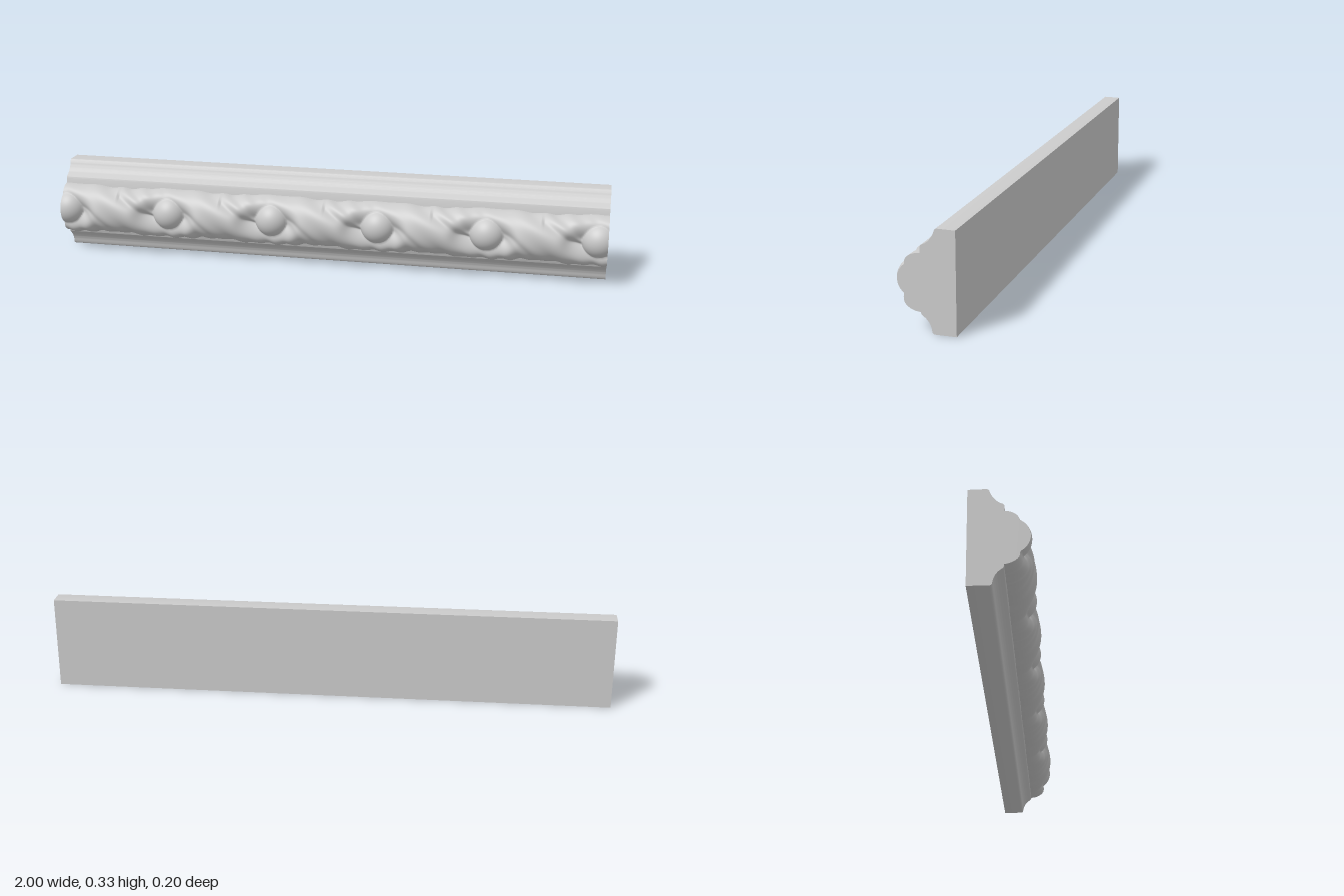
import * as THREE from 'three';
import { toCreasedNormals } from 'three/addons/utils/BufferGeometryUtils.js';

const PITCH = 0.39, FIRST = -0.59;      // spacing of the berries along the rope
const AXIS_Y = 0.16, AXIS_Z = 0.012;    // rope axis, on the face of the rail
const COLS = 420, ROWS = 56;

const material = () => new THREE.MeshStandardMaterial({ color: 0xcccccc });
const gauss = (d, w) => Math.exp(-((d / w) ** 2));

// Straight backing rail; profile drawn with x = -z, then swept along x
function makeRail() {
  const s = new THREE.Shape();
  s.moveTo(0.1, 0);
  s.lineTo(0.1, 0.33);
  s.lineTo(0.041, 0.331);
  s.quadraticCurveTo(0.035, 0.33, 0.033, 0.322);
  s.quadraticCurveTo(0.021, 0.289, -0.004, 0.279);
  s.quadraticCurveTo(-0.012, 0.276, -0.012, 0.27);
  s.lineTo(-0.012, 0.064);
  s.quadraticCurveTo(-0.011, 0.059, -0.004, 0.054);
  s.quadraticCurveTo(0.019, 0.038, 0.023, 0.008);
  s.quadraticCurveTo(0.024, 0.001, 0.03, 0);
  s.closePath();
  const g = new THREE.ExtrudeGeometry(s, { depth: 2, bevelEnabled: false, curveSegments: 10 });
  g.rotateY(Math.PI / 2).translate(-1, 0, 0);
  const rail = new THREE.Mesh(toCreasedNormals(g, 0.6), material());
  rail.name = 'rail';
  return rail;
}

// Surface of the carved rope at x and angle a (-90 deg bottom, +90 deg top)
function carve(x, a) {
  const t = x - FIRST - PITCH * Math.round((x - FIRST) / PITCH);
  const v = Math.sin(a);
  // slanted leaves with folds, fading at the rail
  const slant = t + 0.1 * v + 0.03 * v * v;
  const k = (2 * Math.PI * slant) / PITCH;
  const leafArea = 1 - gauss(t, 0.09);
  let h = 0.955 + 0.03 * Math.cos(2 * Math.PI * t / PITCH) * v * v;
  h += 0.028 * Math.sin(4 * k + 1.2 * Math.sin(k)) * (0.35 + 0.65 * leafArea);
  h -= 0.02 * (1 + Math.sin(k + 1.2)) * leafArea;
  // hollow around each berry, deepest where the leaf tip curls over it
  const hollow = Math.hypot((t + 0.012) / 0.1, (v - 0.03) / 0.72);
  h -= 0.5 * Math.exp(-(hollow ** 5));
  h -= 0.1 * gauss(slant + 0.085, 0.025) * Math.max(0, Math.cos(a));
  h -= 0.06 * gauss(slant - 0.1, 0.018) * Math.max(0, Math.cos(a));
  // small scallops along the lower edge
  if (v < 0) h += 0.02 * v * v * Math.sin(6 * k);

  const ey = 0.094 * v, ez = 0.09 * Math.cos(a), len = Math.hypot(ey, ez);
  const dy = ey / len, dz = ez / len;
  let r = len * Math.min(h, 1.02);
  // berry: where the ray from the axis leaves the ball
  const cy = 0.006, cz = 0.018, along = cy * dy + cz * dz;
  const inside = 0.064 ** 2 - t * t - cy * cy - cz * cz + along * along;
  if (inside > 0) r = Math.max(r, along + Math.sqrt(inside));
  return [AXIS_Y + r * dy, AXIS_Z + Math.max(0, r * dz)];
}

const angle = (j) => (j / ROWS - 0.5) * Math.PI;

function makeRope() {
  const pos = [], idx = [];
  for (let i = 0; i <= COLS; i++) {
    const x = -1 + (2 * i) / COLS;
    for (let j = 0; j <= ROWS; j++) pos.push(x, ...carve(x, angle(j)));
  }
  const n = ROWS + 1;
  for (let i = 0; i < COLS; i++) {
    for (let j = 0; j < ROWS; j++) {
      const p = i * n + j;
      idx.push(p, p + n, p + 1, p + 1, p + n, p + n + 1);
    }
  }
  const g = new THREE.BufferGeometry();
  g.setAttribute('position', new THREE.Float32BufferAttribute(pos, 3));
  g.setIndex(idx);
  g.computeVertexNormals();
  const rope = new THREE.Mesh(g, material());
  rope.name = 'carvedRope';
  return rope;
}

// Flat sawn end of the rope; side is +1 or -1
function makeEnd(side) {
  const pts = [];
  for (let j = 0; j <= ROWS; j++) {
    const [y, z] = carve(side, angle(j));
    pts.push(new THREE.Vector2(-side * z, y));
  }
  const g = new THREE.ShapeGeometry(new THREE.Shape(pts));
  g.rotateY((side * Math.PI) / 2).translate(side, 0, 0);
  const end = new THREE.Mesh(g, material());
  end.name = side > 0 ? 'ropeEndLeft' : 'ropeEndRight';
  return end;
}

export function createModel() {
  const group = new THREE.Group();
  group.name = 'carvedMoulding';
  group.add(makeRail(), makeRope(), makeEnd(1), makeEnd(-1));
  return group;
}
